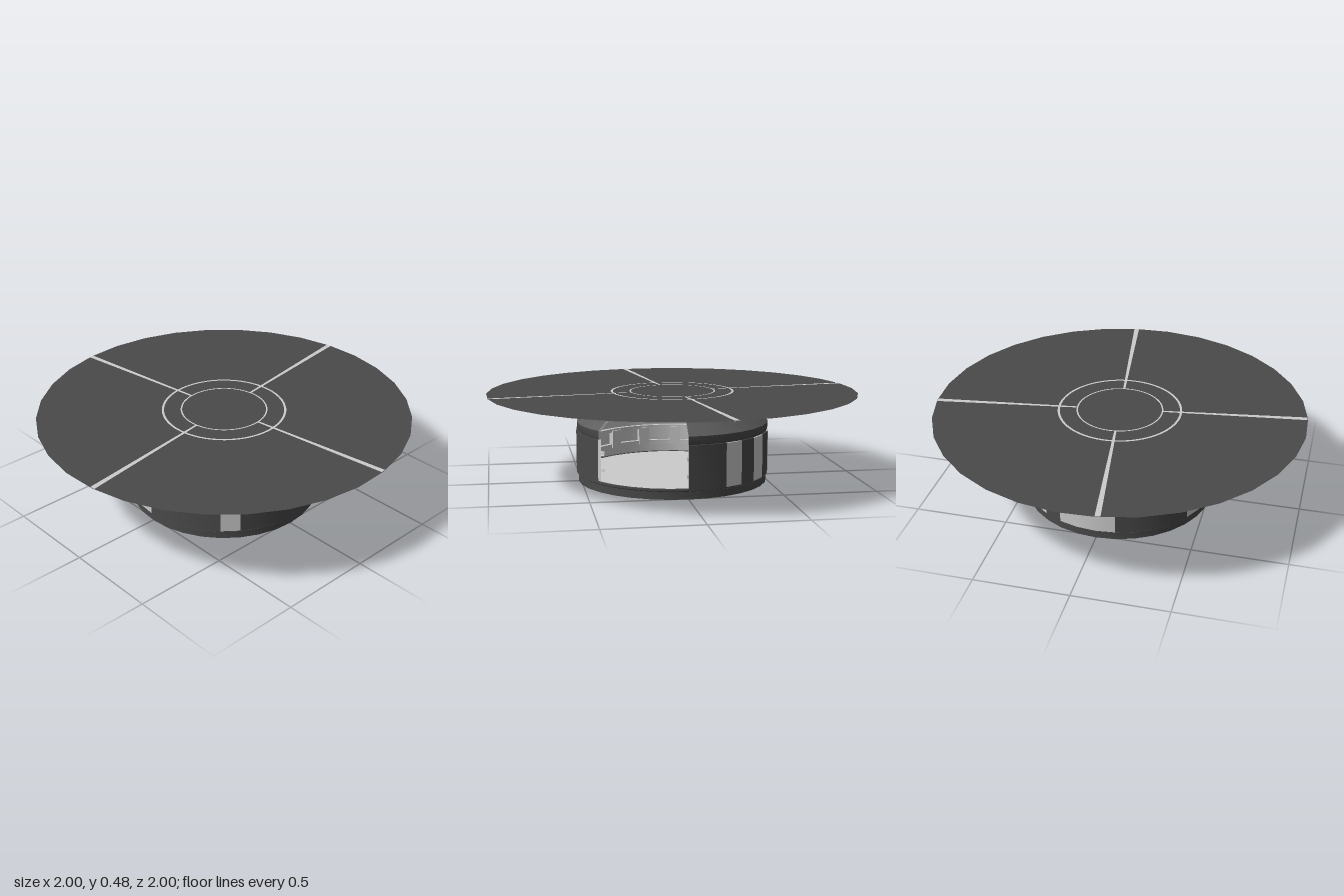
import * as THREE from 'three';
import { toCreasedNormals } from 'three/addons/utils/BufferGeometryUtils.js';

const STEP = 11.25; // degrees per side of a 32-sided round
const rad = THREE.MathUtils.degToRad;
const material = (color) => new THREE.MeshStandardMaterial({ color, side: THREE.DoubleSide });
const dark = material(0x4a4a4a);
const light = material(0xcccccc);

function add(parent, name, geometry, mat) {
  const mesh = new THREE.Mesh(geometry, mat);
  mesh.name = name;
  parent.add(mesh);
  return mesh;
}

// Revolve a [radius, y] profile between two azimuths (degrees from +z towards +x)
function revolve(profile, from = 0, to = 360) {
  const points = profile.map(([r, y]) => new THREE.Vector2(r, y));
  const sides = Math.round((to - from) / STEP);
  return toCreasedNormals(new THREE.LatheGeometry(points, sides, rad(from), rad(to - from)), 0.5);
}

export function createModel() {
  const model = new THREE.Group();
  const open = 180, close = 483.75; // body runs between these, leaving a notch at the back

  // Base plate with a pale floor inside
  add(model, 'basePlate', revolve([[0, 0], [0.515, 0], [0.515, 0.04], [0, 0.04]]), dark);
  add(model, 'floor', revolve([[0.505, 0.045], [0, 0.045]]), light);
  add(model, 'baseRim', revolve([[0.505, 0.035], [0.52, 0.045], [0.52, 0.055], [0.505, 0.055]]), dark);

  // Outer wall, dark with pale panels
  const wall = [[0.51, 0.05], [0.525, 0.05], [0.525, 0.28], [0.51, 0.28]];
  const panels = [[202.5, 213.75], [225, 236.25], [247.5, 281.25], [326.25, 337.5], [348.75, 360], [405, 416.25]];
  let edge = open;
  for (const [from, to] of panels) {
    add(model, 'wall', revolve(wall, edge, from), dark);
    add(model, 'wallPanel', revolve(wall, from, to), light);
    edge = to;
  }
  add(model, 'wall', revolve(wall, edge, close), dark);
  add(model, 'innerWall', revolve([[0.505, 0.28], [0.505, 0.05]], open, close), light);

  // Ledges and blocks lining the inside
  for (const y of [0.1, 0.19]) {
    add(model, 'innerLedge', revolve([[0.505, y], [0.48, y], [0.48, y + 0.02], [0.505, y + 0.02]], open, close), light);
  }
  for (let a = open + STEP; a < close; a += 2 * STEP) {
    const block = add(model, 'innerBlock', new THREE.BoxGeometry(0.06, 0.1, 0.03), light);
    block.position.set(0.485 * Math.sin(rad(a)), 0.15, 0.485 * Math.cos(rad(a)));
    block.rotation.y = rad(a);
  }

  // Upper band and sloping shoulder, open in the middle
  add(model, 'upperBand', revolve([[0.5, 0.28], [0.515, 0.28], [0.52, 0.29], [0.52, 0.325]], open, close), dark);
  add(model, 'shoulder', revolve([[0.52, 0.325], [0.425, 0.41], [0.41, 0.41]], open, close), material(0x5c5c5c));
  add(model, 'shoulderLining', revolve([[0.41, 0.405], [0.505, 0.32], [0.505, 0.28]], open, close), material(0x777777));

  // Floating rings under the top
  const band = (r, w, y, h) => revolve([[r - w, y], [r, y], [r, y + h], [r - w, y + h], [r - w, y]]);
  add(model, 'lowerRing', band(0.11, 0.012, 0.408, 0.012), light);
  add(model, 'upperRing', band(0.185, 0.015, 0.452, 0.018), light);

  // Wide thin top, with inlaid rings and spokes on both faces
  const top = new THREE.Group();
  top.name = 'top';
  top.position.y = 0.482;
  top.rotation.y = rad(8.1);
  model.add(top);
  add(top, 'topDisc', new THREE.CircleGeometry(1, 32).rotateX(-Math.PI / 2), dark);

  const spoke = new THREE.Shape([[-0.006, 0.225], [0.006, 0.225], [0.014, 0.997], [-0.014, 0.997]]
    .map(([x, y]) => new THREE.Vector2(x, y)));
  for (const side of [1, -1]) {
    const flat = (geometry) => geometry.rotateX(-side * Math.PI / 2).translate(0, side * 0.0015, 0);
    for (const [inner, outer] of [[0.225, 0.233], [0.322, 0.334]]) {
      add(top, 'inlaidRing', flat(new THREE.RingGeometry(inner, outer, 64)), light);
    }
    for (let i = 0; i < 4; i++) {
      add(top, 'inlaidSpoke', flat(new THREE.ShapeGeometry(spoke)), light).rotation.y = i * Math.PI / 2;
    }
  }
  return model;
}
